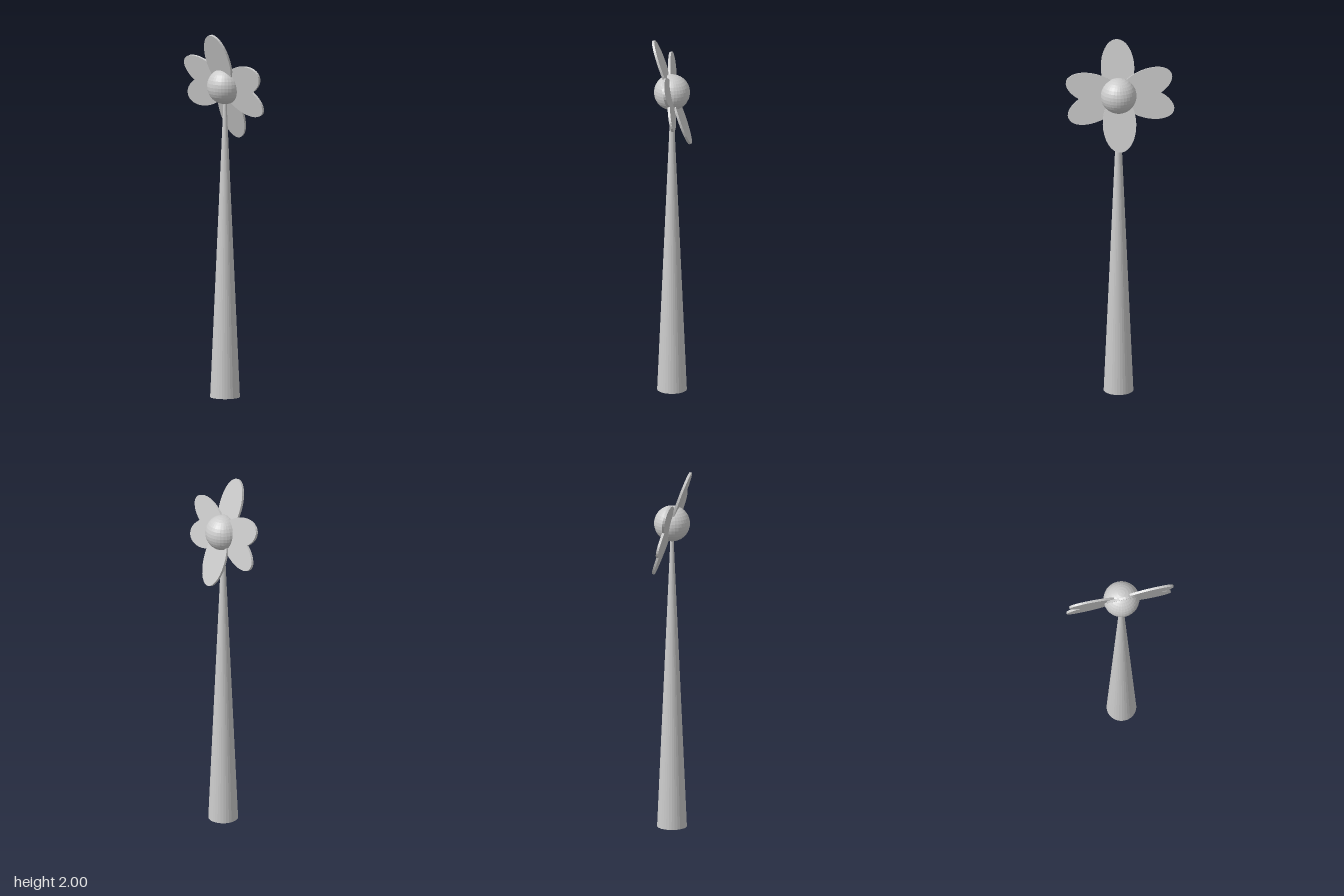
import * as THREE from 'three';

const HUB_Y = 1.71;
const OFFSET_Z = 0.008;

export function createModel() {
  const model = new THREE.Group();
  model.name = 'windmillFlower';
  const grey = new THREE.MeshStandardMaterial({ color: 0xcccccc, flatShading: true });

  const add = (name, geometry, x, y, z) => {
    const mesh = new THREE.Mesh(geometry, grey);
    mesh.name = name;
    mesh.position.set(x, y, z);
    model.add(mesh);
  };

  // Tapered tower, its tip hidden in the hub
  add('tower', new THREE.CylinderGeometry(0.005, 0.081, HUB_Y, 32), 0, HUB_Y / 2, OFFSET_Z);

  // Round hub
  add('hub', new THREE.SphereGeometry(0.098, 32, 16), 0, HUB_Y, OFFSET_Z);

  // Thin oval petal that starts at the hub centre, turned by angle and leaned back by tilt
  const petal = (length, width, angle, tilt) =>
    new THREE.CylinderGeometry(1, 1, 0.013, 32)
      .rotateZ(Math.PI / 2)
      .scale(1, length / 2, width / 2)
      .translate(0, length / 2, 0)
      .rotateX(THREE.MathUtils.degToRad(angle))
      .rotateZ(tilt);

  // Upper and lower petals lean more than the side ones
  for (const angle of [0, 180]) {
    add('verticalPetal', petal(0.309, 0.182, angle, 0.338), 0, HUB_Y, OFFSET_Z);
  }
  for (const angle of [73, 112, 253, 292]) {
    add('sidePetal', petal(0.306, 0.162, angle, 0.2), 0, HUB_Y, 0);
  }
  return model;
}
